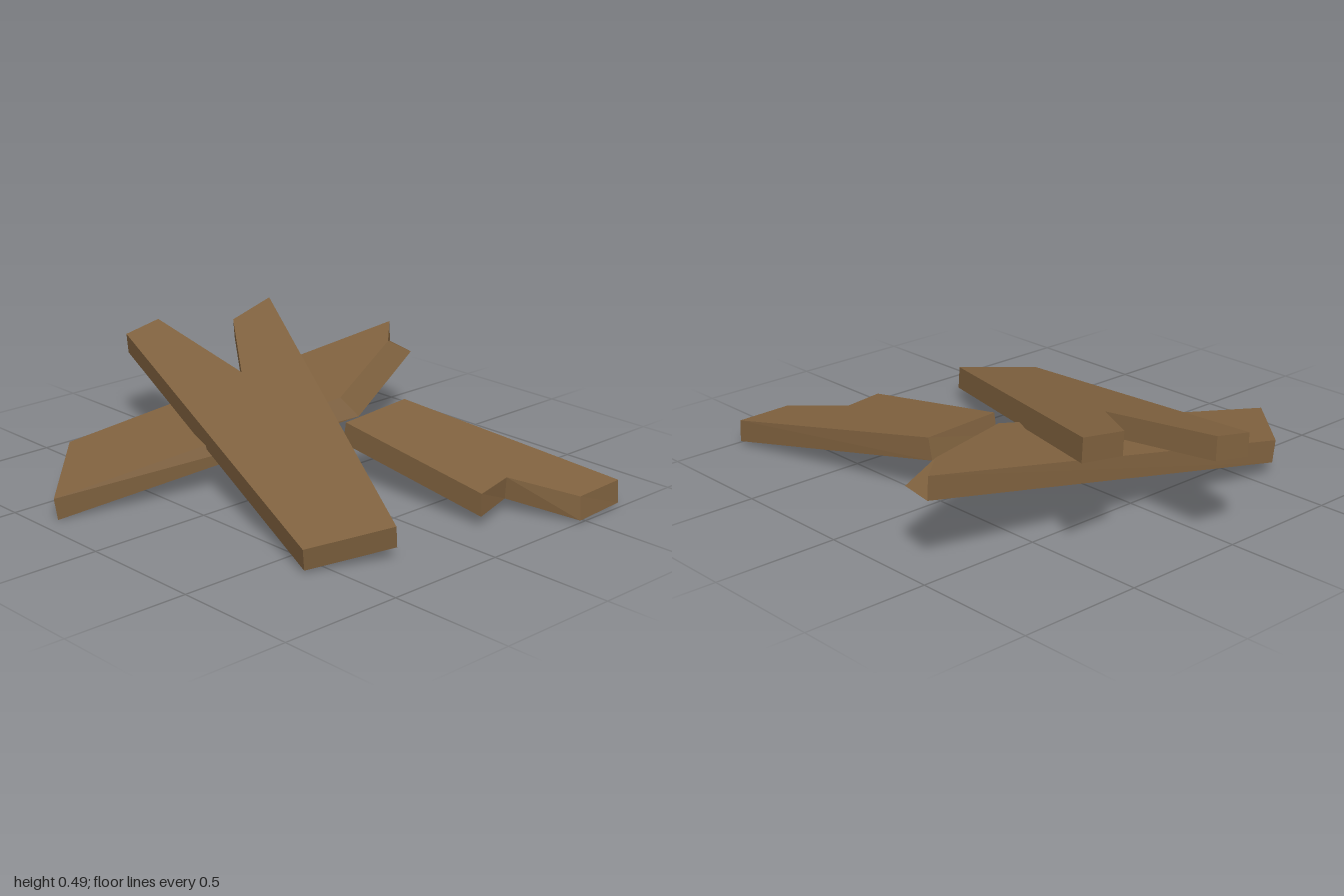
import * as THREE from 'three';

const wood = new THREE.MeshStandardMaterial({ color: 0x80623f, flatShading: true, side: THREE.DoubleSide });
wood.name = 'brown wood';

// A broken board: a top outline on the plane y = a*x + b*z + c, with walls down
// to a bottom outline and an open underside. Outlines are [x, z] pairs.
function makeBoard(name, [a, b, c], top, bottom, depth = 0.09) {
  const height = (x, z) => a * x + b * z + c;
  const upper = top.map(([x, z]) => [x, height(x, z), z]);
  const lower = bottom.map(([x, z]) => [x, height(x, z) - depth, z]);
  const positions = [];
  const triangle = (p, q, r) => positions.push(...p, ...q, ...r);

  // Top face
  const contour = top.map(([x, z]) => new THREE.Vector2(x, -z));
  for (const [i, j, k] of THREE.ShapeUtils.triangulateShape(contour, [])) {
    triangle(upper[i], upper[j], upper[k]);
  }
  // Side walls
  for (let i = 0; i < upper.length; i++) {
    const j = (i + 1) % upper.length;
    triangle(upper[i], lower[i], lower[j]);
    triangle(upper[i], lower[j], upper[j]);
  }

  const geometry = new THREE.BufferGeometry();
  geometry.setAttribute('position', new THREE.Float32BufferAttribute(positions, 3));
  geometry.computeVertexNormals();
  const mesh = new THREE.Mesh(geometry, wood);
  mesh.name = name;
  return mesh;
}

export function createModel() {
  const group = new THREE.Group();
  group.name = 'brokenBoards';

  // Long board on top, split into two prongs at one end
  const forked = [
    [-0.99, 0.08], [0.65, 0.6], [0.79, 0.285], [-0.78, -0.53],
    [-0.75, -0.3], [-0.4, -0.04], [-0.99, -0.09],
  ];
  group.add(makeBoard('forkedBoard', [-0.13, -0.185, 0.3], forked,
    forked.map(([x, z]) => [x - 0.01, z - 0.016])));

  // Board crossing underneath, with pointed ends and a sloping broken edge
  group.add(makeBoard('crossBoard', [0, -0.15, 0.24],
    [[-0.68, 0.61], [-0.33, 0.94], [-0.07, -0.27], [-0.31, -0.78], [-0.46, -0.94]],
    [[-0.68, 0.595], [-0.33, 0.925], [-0.025, -0.33], [-0.3, -0.91], [-0.46, -0.945]]));

  // Short loose board with a notched end
  group.add(makeBoard('notchedBoard', [-0.15, 0, 0.26],
    [[0.09, -0.147], [0.78, -0.168], [0.74, -0.35], [0.99, -0.475], [0.98, -0.71], [0.055, -0.507]],
    [[0.075, -0.147], [0.78, -0.168], [0.73, -0.355], [1, -0.47], [0.985, -0.71], [0.035, -0.507]]));

  return group;
}
